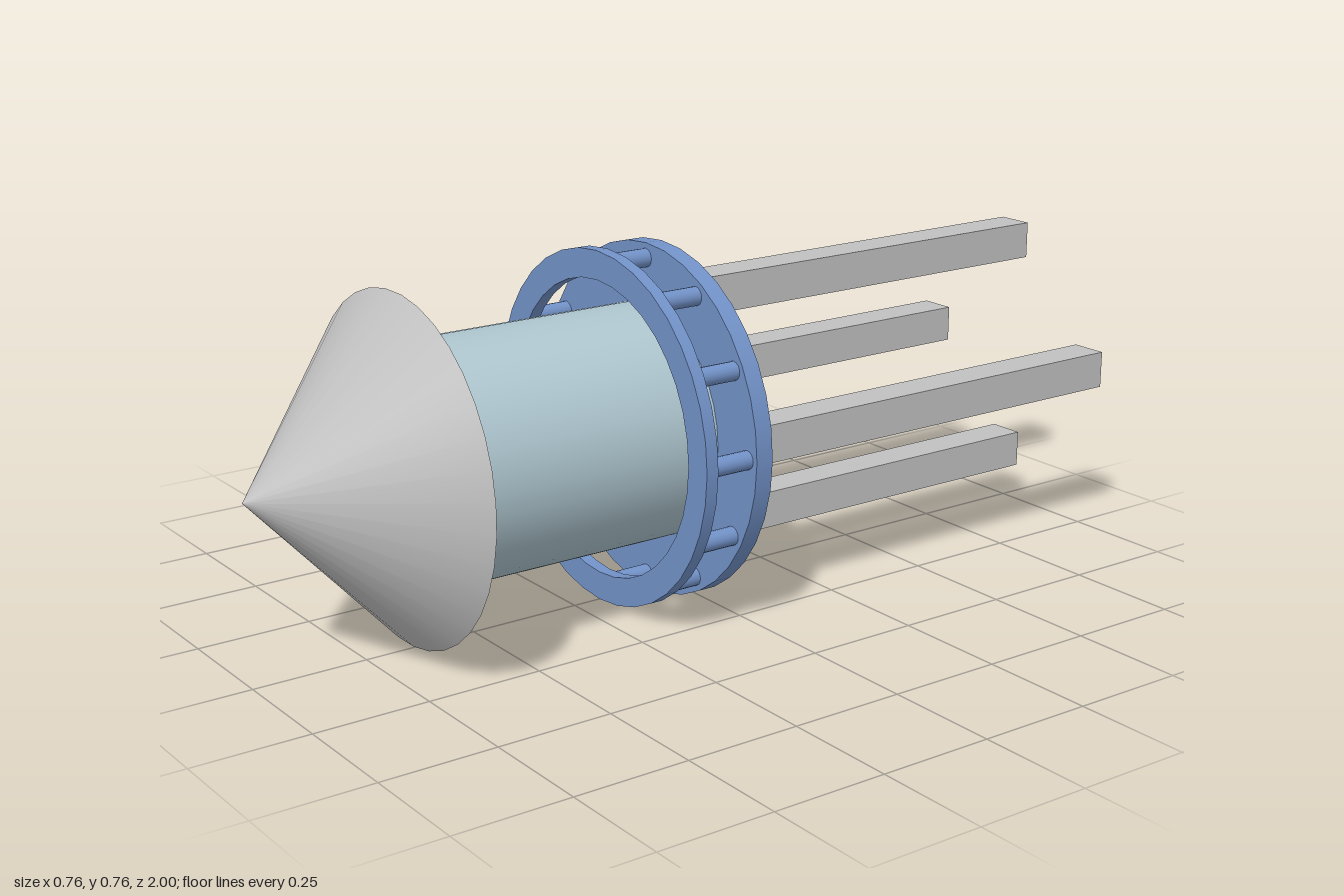
import * as THREE from 'three';

export function createModel() {
  const model = new THREE.Group();
  const CY = 0.385; // height of the main axis
  const grey = new THREE.MeshStandardMaterial({ name: 'silver grey', color: 0xc0c0c0 });
  const blue = new THREE.MeshStandardMaterial({ name: 'medium blue', color: 0x7292c8 });
  const pale = new THREE.MeshStandardMaterial({ name: 'pale blue', color: 0xaec6cf });

  const add = (name, geometry, material, x, y, z) => {
    const mesh = new THREE.Mesh(geometry, material);
    mesh.name = name;
    mesh.position.set(x, CY + y, z);
    model.add(mesh);
  };
  // Cylinder lying along z, between z0 and z1
  const rod = (name, rFront, rBack, z0, z1, sides, material, x = 0, y = 0, turn = 0) => {
    const g = new THREE.CylinderGeometry(rFront, rBack, z1 - z0, sides, 1, false, turn);
    add(name, g.rotateX(Math.PI / 2), material, x, y, (z0 + z1) / 2);
  };

  // Nose and body
  rod('noseCone', 0, 0.366, 0.66, 1, 36, grey, 0, 0, Math.PI / 36);
  rod('body', 0.253, 0.253, 0.06, 0.66, 36, pale);

  // Cage: back disc, front ring and the posts between them
  rod('backDisc', 0.382, 0.382, 0.022, 0.062, 36, blue);
  const R = 0.382, r = 0.32, h = 0.028;
  const profile = [[r, 0], [R, 0], [R, 0], [R, h], [R, h], [r, h], [r, h], [r, 0]];
  // Separate bands keep the ring edges sharp
  for (let i = 0; i < 8; i += 2) {
    const pts = [profile[i], profile[i + 1]].map(p => new THREE.Vector2(...p));
    add('frontRing', new THREE.LatheGeometry(pts, 36).rotateX(Math.PI / 2), blue, 0, 0, 0.158);
  }
  for (let i = 0; i < 12; i++) {
    const a = (i * Math.PI) / 6;
    rod('cagePost', 0.02, 0.02, 0.06, 0.16, 16, blue, 0.35 * Math.cos(a), 0.35 * Math.sin(a));
  }

  // Four square bars at the back
  for (let i = 0; i < 4; i++) {
    const a = (i * Math.PI) / 2;
    add('rearBar', new THREE.BoxGeometry(0.082, 0.082, 1.03), grey,
      0.256 * Math.cos(a), 0.256 * Math.sin(a), -0.485);
  }
  return model;
}
